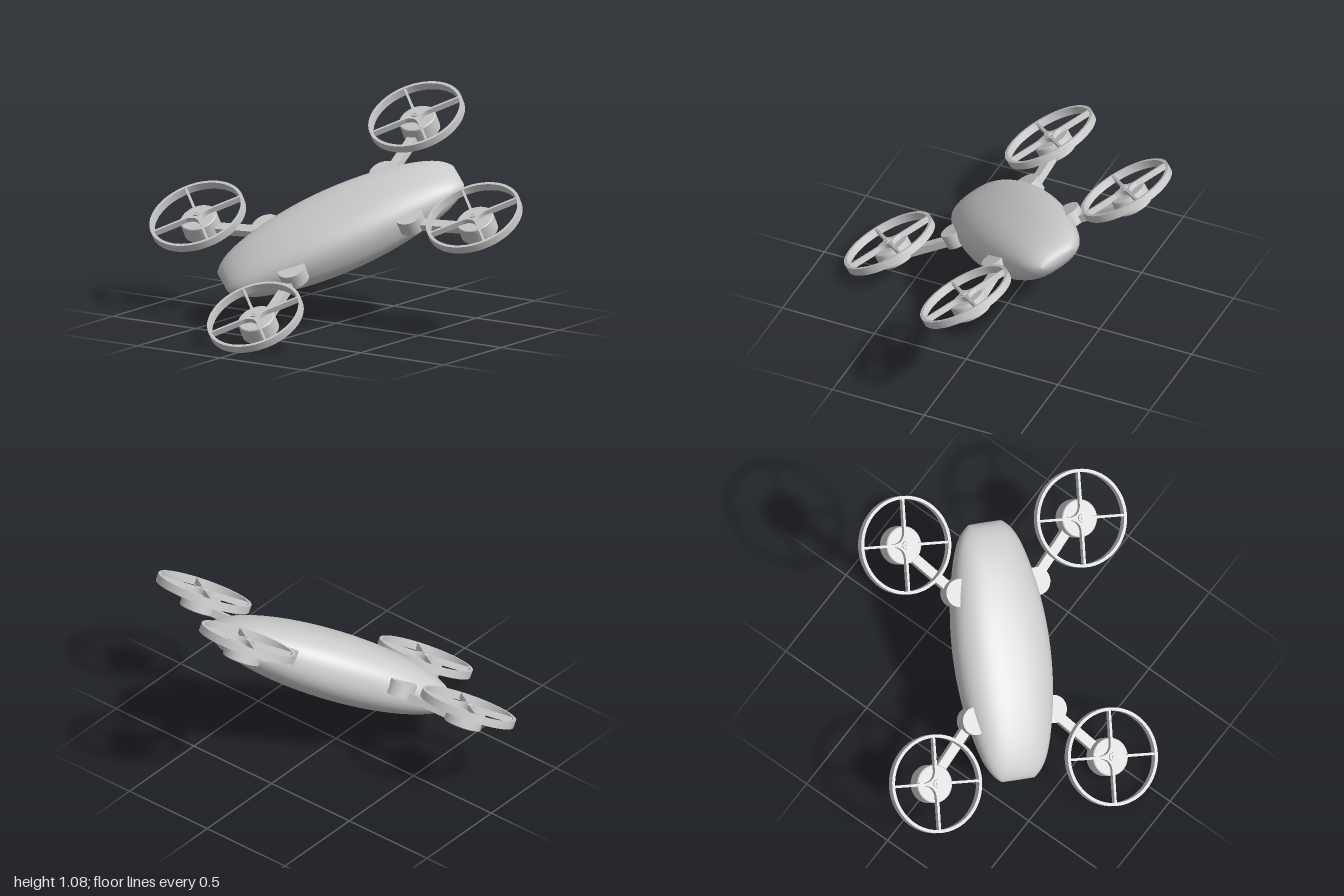
import * as THREE from 'three';
import { mergeVertices, toCreasedNormals } from 'three/addons/utils/BufferGeometryUtils.js';

const mat = new THREE.MeshStandardMaterial({ color: 0xcccccc });
const rad = THREE.MathUtils.degToRad;

function part(name, geometry, x = 0, y = 0, z = 0) {
  const mesh = new THREE.Mesh(geometry, mat);
  mesh.name = name;
  mesh.position.set(x, y, z);
  return mesh;
}

const lathe = (pts, segments = 48) => toCreasedNormals(
  new THREE.LatheGeometry(pts.map(([x, y]) => new THREE.Vector2(x, y)), segments), 0.6);

// Barrel-shaped pod: elliptical side profile, blunt tapered plan, soft-square section
function bodyGeometry() {
  let g = new THREE.SphereGeometry(1, 64, 48);
  g.rotateX(Math.PI / 2);
  g.deleteAttribute('uv');
  g.deleteAttribute('normal');
  g = mergeVertices(g, 1e-5);
  const p = g.attributes.position;
  const soft = (v) => Math.sign(v) * Math.pow(Math.abs(v), 0.85);
  for (let i = 0; i < p.count; i++) {
    const s = p.getZ(i);
    const r = Math.hypot(p.getX(i), p.getY(i));
    if (r < 1e-4) {
      p.setXYZ(i, 0, 0, 0.645 * s);
      continue;
    }
    const width = (0.25 - 0.115 * s * s) * (1 - 0.35 * Math.pow(s, 16));
    p.setXYZ(i, soft(p.getX(i) / r) * width, soft(p.getY(i) / r) * 0.165 * r, 0.645 * s);
  }
  g.computeVertexNormals();
  return g;
}

// Four thin upright spokes flaring into a central hub
function spokeGeometry() {
  const shape = new THREE.Shape();
  for (let k = 0; k < 4; k++) {
    const at = (x, y) => {
      const c = Math.round(Math.cos(k * Math.PI / 2)), s = Math.round(Math.sin(k * Math.PI / 2));
      return [x * c - y * s, x * s + y * c];
    };
    if (k === 0) shape.moveTo(...at(0.235, -0.006));
    else shape.lineTo(...at(0.235, -0.006));
    shape.lineTo(...at(0.235, 0.006));
    shape.lineTo(...at(0.06, 0.007));
    shape.quadraticCurveTo(...at(0.014, 0.014), ...at(0.007, 0.06));
  }
  const g = new THREE.ExtrudeGeometry(shape, { depth: 0.03, bevelEnabled: false, curveSegments: 8 });
  g.rotateX(-Math.PI / 2);
  return g;
}

const ringGeometry = lathe([
  [0.229, -0.02], [0.245, -0.02], [0.245, 0.02], [0.229, 0.02], [0.229, -0.02],
], 72);

// Motor can with a small recess underneath
const motorGeometry = lathe([
  [0, -0.082], [0.028, -0.082], [0.028, -0.094], [0.091, -0.094], [0.095, -0.09],
  [0.095, -0.011], [0.091, -0.007], [0, -0.007],
]);

function rotorUnit(sx, sz) {
  const unit = new THREE.Group();
  unit.name = 'rotorUnit';
  const rotor = new THREE.Vector3(sx * 0.483, 0, sz * 0.597);
  const root = new THREE.Vector3(sx * 0.215, 0, sz * 0.32);

  // Ring, spokes, hub and motor
  const head = new THREE.Group();
  head.name = 'rotor';
  head.position.copy(rotor);
  head.rotation.y = rad(-4);
  head.add(
    part('guardRing', ringGeometry),
    part('spokes', spokeGeometry(), 0, -0.012, 0),
    part('hub', new THREE.CylinderGeometry(0.02, 0.024, 0.032, 24), 0, 0.008, 0),
    part('hubCap', new THREE.CylinderGeometry(0.008, 0.008, 0.006, 16), 0, 0.026, 0),
    part('motor', motorGeometry),
  );

  // Flat arm and the round mount on the body side
  const span = rotor.clone().sub(root);
  const arm = part('arm', new THREE.BoxGeometry(0.05, 0.038, span.length() - 0.04));
  arm.position.addVectors(rotor, root).multiplyScalar(0.5).setY(-0.073);
  arm.rotation.y = Math.atan2(span.x, span.z);
  const mount = part('armMount', new THREE.CylinderGeometry(0.07, 0.07, 0.075, 40), root.x, -0.053, root.z);

  unit.add(head, arm, mount);
  return unit;
}

export function createModel() {
  const model = new THREE.Group();
  model.name = 'quadRotorDrone';

  // Whole craft pitched forward and turned to one side
  const craft = new THREE.Group();
  craft.name = 'craft';
  craft.position.y = 0.542;
  craft.rotation.set(rad(31), rad(-41), 0);
  craft.add(part('body', bodyGeometry(), 0, -0.079, 0));
  for (const sx of [-1, 1]) for (const sz of [-1, 1]) craft.add(rotorUnit(sx, sz));

  model.add(craft);
  return model;
}
